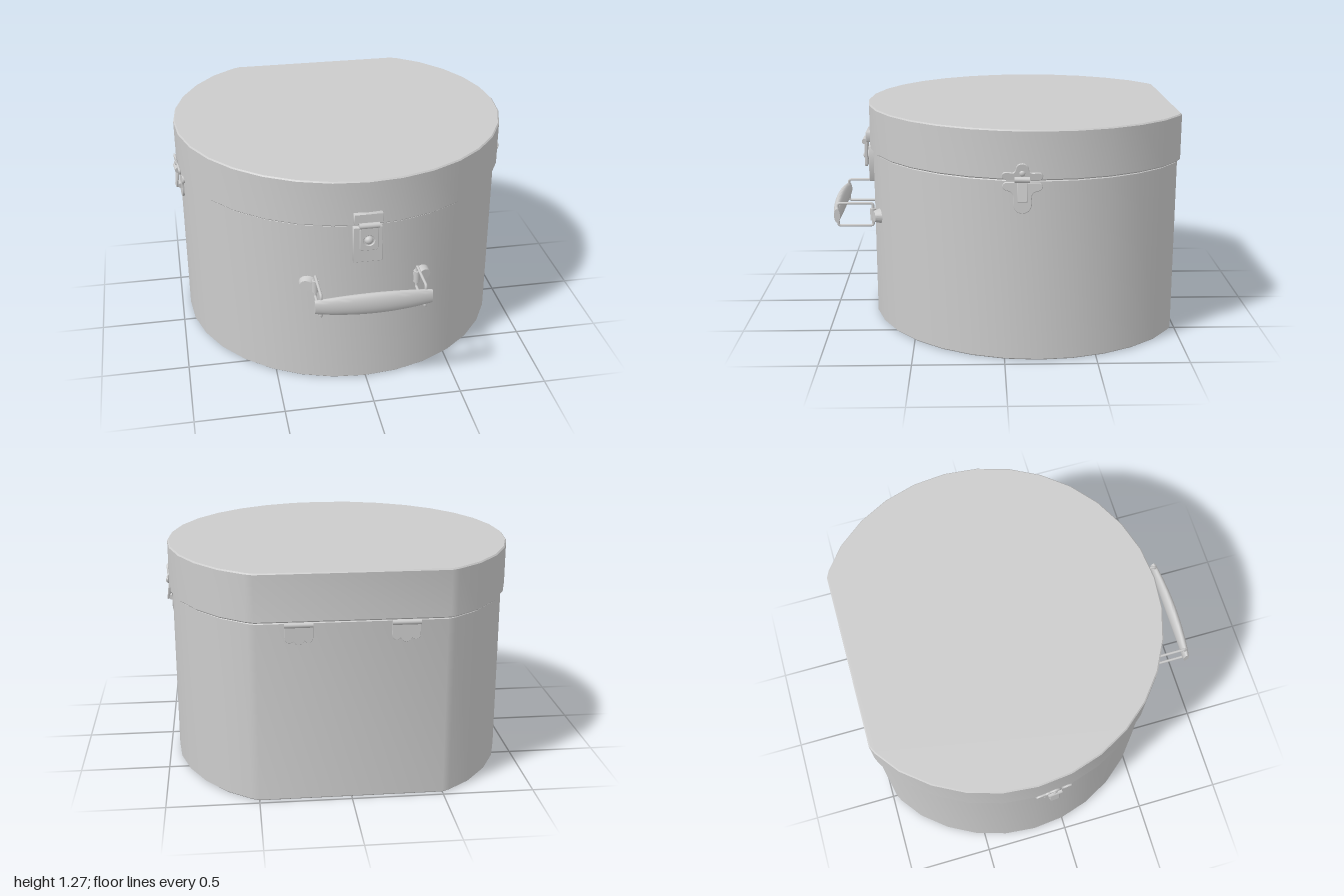
import * as THREE from 'three';
import { toCreasedNormals } from 'three/addons/utils/BufferGeometryUtils.js';

const CENTER_Z = -0.185; // axis of the round part of the case
const STEP = Math.PI / 16;
const material = new THREE.MeshStandardMaterial({ color: 0xcccccc, side: THREE.DoubleSide });

function add(parent, name, geometry, x = 0, y = 0, z = 0) {
  const mesh = new THREE.Mesh(geometry, material);
  mesh.name = name;
  mesh.position.set(x, y, z);
  parent.add(mesh);
  return mesh;
}

// Plate cut from a shape, front face at +z, slightly bevelled
function plate(shape, depth, bevel = 0.003) {
  const g = new THREE.ExtrudeGeometry(shape, {
    depth: depth - 2 * bevel, bevelThickness: bevel, bevelSize: bevel,
    bevelOffset: -bevel, bevelSegments: 1, curveSegments: 8,
  });
  g.translate(0, 0, bevel);
  return toCreasedNormals(g, 0.7);
}

// Group standing on the round wall, its local +z pointing outwards
function onWall(parent, name, angle, radius, y) {
  const g = new THREE.Group();
  g.name = name;
  g.position.set(radius * Math.sin(angle), y, CENTER_Z + radius * Math.cos(angle));
  g.rotation.y = angle;
  parent.add(g);
  return g;
}

// Round drum with a flattened back
function drum(radius, y0, y1) {
  const k = radius / 0.968;
  const half = [];
  for (let i = 0; i <= 12; i++) half.push([0.968 * Math.sin(i * STEP), 0.968 * Math.cos(i * STEP)]);
  half.push([0.552, -0.785], [0.51, -0.805]);
  const right = half.map(([x, z]) => new THREE.Vector2(x * k, -(CENTER_Z + z * k)));
  const left = right.slice(1).reverse().map((p) => new THREE.Vector2(-p.x, p.y));
  const g = plate(new THREE.Shape([...right, ...left]), y1 - y0, 0.007);
  g.rotateX(-Math.PI / 2).translate(0, y0, 0);
  return g;
}

function roundedRect(w, h, r) {
  const s = new THREE.Shape();
  s.moveTo(-w / 2 + r, -h / 2);
  s.absarc(w / 2 - r, -h / 2 + r, r, -Math.PI / 2, 0);
  s.absarc(w / 2 - r, h / 2 - r, r, 0, Math.PI / 2);
  s.absarc(-w / 2 + r, h / 2 - r, r, Math.PI / 2, Math.PI);
  s.absarc(-w / 2 + r, -h / 2 + r, r, Math.PI, Math.PI * 1.5);
  return s;
}

// Low dome whose axis is +z
function dome(radius, height) {
  const g = new THREE.SphereGeometry(radius, 16, 6, 0, Math.PI * 2, 0, Math.PI / 2);
  return g.scale(1, height / radius, 1).rotateX(Math.PI / 2);
}

function rod(radius, length) {
  return new THREE.CylinderGeometry(radius, radius, length, 14).rotateZ(Math.PI / 2);
}

function frontLatch(parent) {
  const g = new THREE.Group();
  g.name = 'frontLatch';
  parent.add(g);
  add(g, 'lockPlate', plate(roundedRect(0.16, 0.215, 0.006), 0.035), 0, 0.892, 0.752);
  add(g, 'lidCatch', plate(roundedRect(0.16, 0.062, 0.006), 0.035), 0, 1.055, 0.766);
  add(g, 'hinge', rod(0.016, 0.11), 0, 1.022, 0.812);
  const hole = new THREE.Path().absarc(0, 0.02 - 0.035, 0.03, 0, Math.PI * 2, true);
  const hasp = roundedRect(0.1, 0.15, 0.012);
  hasp.holes.push(hole);
  add(g, 'hasp', plate(hasp, 0.018), 0, 0.945, 0.796);
  add(g, 'lockBase', new THREE.CylinderGeometry(0.03, 0.03, 0.03, 20).rotateX(Math.PI / 2), 0, 0.93, 0.79);
  add(g, 'lockButton', dome(0.024, 0.022), 0, 0.93, 0.804);
}

function sideLatch(parent, angle) {
  const g = onWall(parent, 'sideLatch', angle, 0.945, 1);

  // Fan-shaped plate on the body
  const low = new THREE.Shape();
  low.moveTo(-0.09, -0.008);
  low.lineTo(0.09, -0.008);
  low.bezierCurveTo(0.115, -0.02, 0.11, -0.05, 0.075, -0.055);
  low.bezierCurveTo(0.03, -0.065, 0.06, -0.11, 0.045, -0.145);
  low.bezierCurveTo(0.03, -0.185, -0.03, -0.185, -0.045, -0.145);
  low.bezierCurveTo(-0.06, -0.11, -0.03, -0.065, -0.075, -0.055);
  low.bezierCurveTo(-0.11, -0.05, -0.115, -0.02, -0.09, -0.008);
  add(g, 'bodyPlate', plate(low, 0.016), 0, 0, -0.003);

  // Three-lobed plate on the lid, with a rivet
  const up = new THREE.Shape();
  up.moveTo(-0.085, 0.008);
  up.lineTo(0.085, 0.008);
  up.bezierCurveTo(0.115, 0.015, 0.115, 0.052, 0.085, 0.053);
  up.bezierCurveTo(0.06, 0.055, 0.045, 0.04, 0.035, 0.065);
  up.bezierCurveTo(0.035, 0.115, -0.035, 0.115, -0.035, 0.065);
  up.bezierCurveTo(-0.045, 0.04, -0.06, 0.055, -0.085, 0.053);
  up.bezierCurveTo(-0.115, 0.052, -0.115, 0.015, -0.085, 0.008);
  const lidPlate = add(g, 'lidPlate', plate(up, 0.012), 0, 0, 0.014);
  lidPlate.rotation.x = 0.16;
  add(g, 'rivet', dome(0.016, 0.01), 0, 0.046, 0.032);

  // Swinging clasp bridging both plates
  const strap = add(g, 'clasp', plate(roundedRect(0.055, 0.125, 0.008), 0.012), 0, -0.045, 0.025);
  strap.rotation.x = -0.12;
  add(g, 'claspPivot', rod(0.016, 0.08), 0, 0.012, 0.03);
  add(g, 'claspCatch', rod(0.015, 0.055), 0, -0.095, 0.018);
}

function backHinge(parent, x) {
  const g = new THREE.Group();
  g.name = 'backHinge';
  g.position.set(x, 0.995, -0.97);
  g.rotation.y = Math.PI;
  parent.add(g);
  const s = new THREE.Shape();
  s.moveTo(-0.075, 0);
  s.lineTo(-0.075, -0.07);
  s.bezierCurveTo(-0.075, -0.11, -0.035, -0.105, -0.03, -0.09);
  s.bezierCurveTo(-0.02, -0.12, 0.02, -0.12, 0.03, -0.09);
  s.bezierCurveTo(0.035, -0.105, 0.075, -0.11, 0.075, -0.07);
  s.lineTo(0.075, 0);
  add(g, 'hingeLeaf', plate(s, 0.014, 0.002), 0, 0, 0);
  add(g, 'hingeKnuckle', rod(0.014, 0.15), 0, -0.004, 0.016);
}

function handle(parent) {
  const g = new THREE.Group();
  g.name = 'handle';
  g.position.y = 0.638;
  parent.add(g);

  // Grip: straight at the back, swelling to the front in the middle
  const grip = new THREE.CylinderGeometry(1, 1, 0.64, 24, 16).rotateZ(Math.PI / 2);
  const p = grip.attributes.position;
  for (let i = 0; i < p.count; i++) {
    const t = Math.abs(p.getX(i)) / 0.32;
    const halfHeight = 0.063 - 0.022 * t * t;
    const halfDepth = 0.03 - 0.013 * t * t;
    p.setY(i, p.getY(i) * halfHeight);
    p.setZ(i, 0.94 + halfDepth * (1 + p.getZ(i)));
  }
  grip.computeVertexNormals();
  add(g, 'grip', toCreasedNormals(grip, 0.8));

  for (const side of [-1, 1]) {
    // Rectangular wire ring
    const c = [[0.75, -0.067], [0.955, -0.067], [0.955, 0.067], [0.75, 0.067]];
    const path = new THREE.CurvePath();
    const v = (z, y) => new THREE.Vector3(side * 0.285, y, z);
    c.forEach(([z, y], i) => {
      const [nz, ny] = c[(i + 1) % 4];
      const [mz, my] = c[(i + 2) % 4];
      const toward = (a, b) => a + Math.sign(b - a) * 0.015;
      path.add(new THREE.LineCurve3(v(toward(z, nz), toward(y, ny)), v(toward(nz, z), toward(ny, y))));
      path.add(new THREE.QuadraticBezierCurve3(
        v(toward(nz, z), toward(ny, y)), v(nz, ny), v(toward(nz, mz), toward(ny, my))));
    });
    add(g, 'wireRing', new THREE.TubeGeometry(path, 80, 0.008, 8, true));

    // Tapered mount on the wall, looped around the ring
    const mount = onWall(g, 'handleMount', side * 0.345, 0.935, 0);
    const cone = new THREE.CylinderGeometry(0.034, 0.05, 0.05, 20).rotateX(Math.PI / 2);
    add(mount, 'mountBase', toCreasedNormals(cone.scale(1.1, 0.92, 1), 0.6), 0, 0, 0.025);
    add(g, 'mountLoop', new THREE.CylinderGeometry(0.018, 0.018, 0.07, 14), side * 0.285, 0, 0.75);
  }
}

export function createModel() {
  const model = new THREE.Group();
  model.name = 'hatBox';
  add(model, 'body', drum(0.95, 0, 1.004));
  add(model, 'lid', drum(0.968, 1.006, 1.27));
  add(model, 'rimSeal', drum(0.93, 0.98, 1.03));
  frontLatch(model);
  for (const side of [-1, 1]) {
    sideLatch(model, side * 7.5 * STEP);
    backHinge(model, side * 0.28);
  }
  handle(model);
  return model;
}
